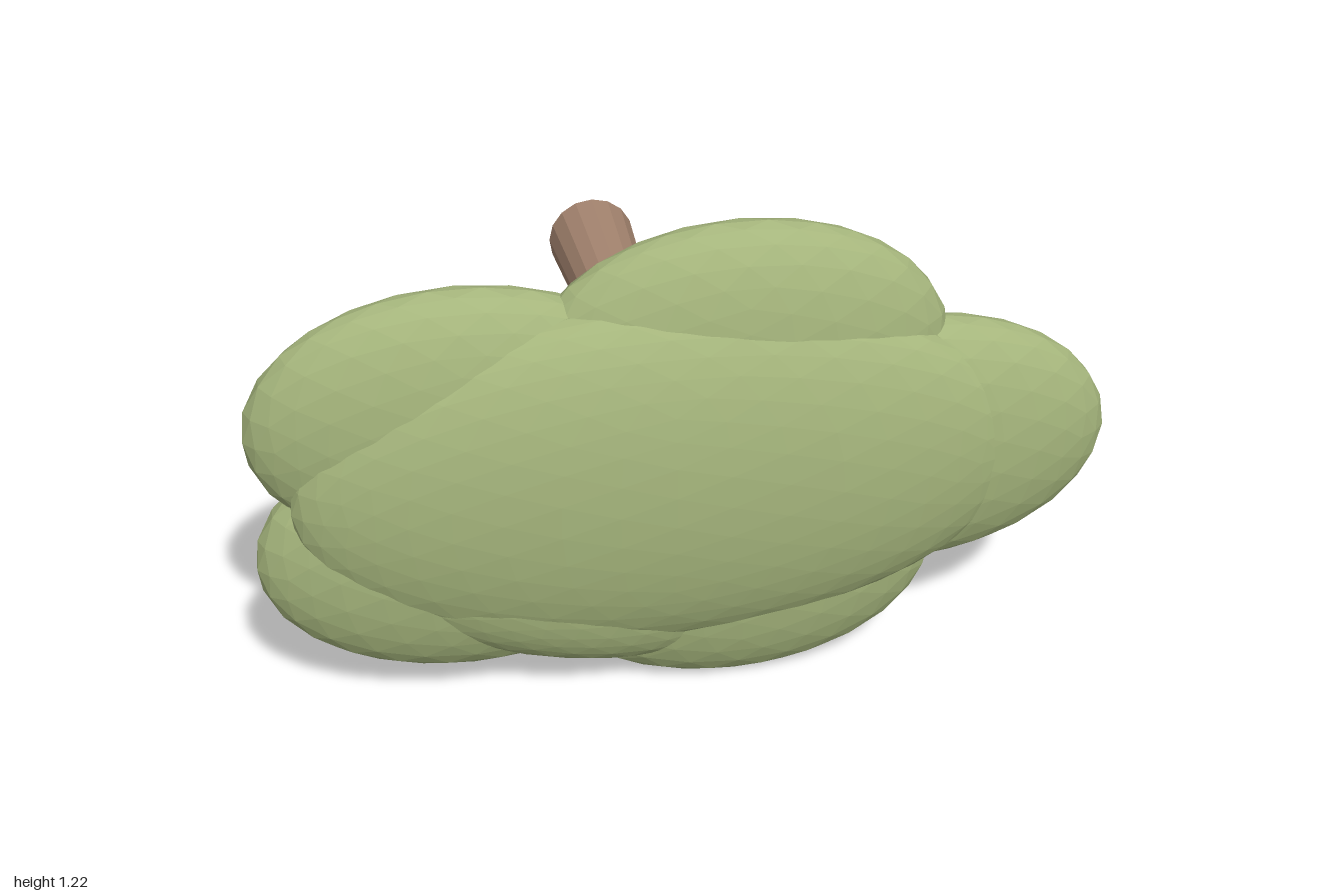
import * as THREE from 'three';

export function createModel() {
  const model = new THREE.Group();
  const leaf = new THREE.MeshStandardMaterial({ name: 'leaf green', color: 0xa5b57c, flatShading: true });
  const bark = new THREE.MeshStandardMaterial({ name: 'bark brown', color: 0xa4846f, flatShading: true });
  const midY = 0.617;

  // Faceted ellipsoid of foliage
  function foliage(name, position, radii, tilt = 0, detail = 4) {
    const mesh = new THREE.Mesh(new THREE.IcosahedronGeometry(1, detail), leaf);
    mesh.name = name;
    mesh.position.set(...position);
    mesh.scale.set(...radii);
    mesh.rotation.z = tilt;
    model.add(mesh);
  }

  // Tapered round limb between two points
  function limb(name, from, to, r0, r1, sides) {
    const a = new THREE.Vector3(...from);
    const dir = new THREE.Vector3(...to).sub(a);
    const mesh = new THREE.Mesh(new THREE.CylinderGeometry(r1, r0, dir.length(), sides), bark);
    mesh.name = name;
    mesh.position.copy(a).addScaledVector(dir, 0.5);
    mesh.quaternion.setFromUnitVectors(new THREE.Vector3(0, 1, 0), dir.normalize());
    model.add(mesh);
  }

  // Trunk lying along z, wide at the back
  limb('trunk', [-0.057, midY, -0.66], [-0.033, midY, 0.13], 0.115, 0.07, 16);

  // Five outer clumps with a branch reaching into each: clump x, y, branch x, y
  const clumps = [
    [0.515, 0, 0.40, 0],
    [0.115, 0.28, 0.10, 0.23],
    [-0.515, 0.173, -0.42, 0.14],
    [-0.515, -0.173, -0.42, -0.14],
    [0.115, -0.28, 0.10, -0.23],
  ];
  const base = [-0.025, midY, 0.13];
  clumps.forEach(([x, y, bx, by], i) => {
    foliage('outerFoliage' + (i + 1), [x, midY + y, 0.45], [0.485, 0.333, 0.13]);
    const reach = 1.4; // continue inside the clump
    const tip = [base[0] + (bx - base[0]) * reach, midY + by * reach, base[2] + 0.19 * reach];
    limb('branch' + (i + 1), base, tip, 0.05, 0.027, 10);
  });

  // Broad crown in the middle and the smaller clump below it
  foliage('crownFoliage', [-0.06, midY, 0.5], [0.85, 0.45, 0.155], 0, 6);
  foliage('lowerCrownFoliage', [-0.33, 0.37, 0.48], [0.49, 0.235, 0.125], -0.31, 5);

  return model;
}
